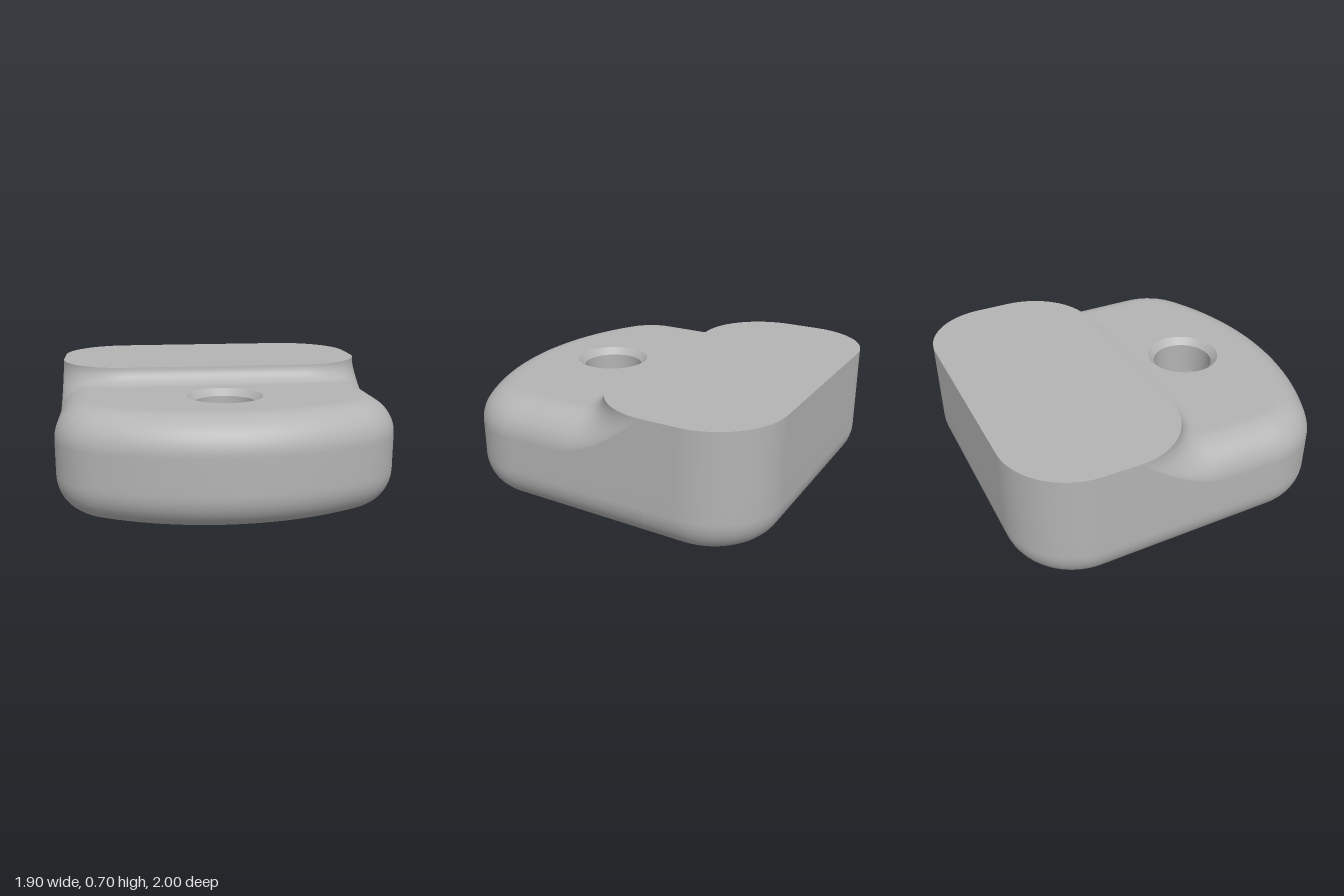
import * as THREE from 'three';

const PI = Math.PI;
const W = 0.95, R = 0.4, CX = W - R;          // half width, corner radius, corner centre x
const BACK_Z = -0.6, STEP_Z = -0.4, FRONT_Z = 0.46;
const BOW = 1.55, BOW_Z = 1 - BOW;            // bowed front edge
const TOP = 0.7, DECK = 0.6, ROUND = 0.2;     // platform height, deck height, edge rounding
const INSET = 0.175, HOLE_Z = 0.4;

// Plan curves in (x, z), running left to right round the front, then back round the rear
const phi = Math.atan2(FRONT_Z - BOW_Z, CX);
const frontEdge = new THREE.Path().moveTo(-W, STEP_Z).lineTo(-W, FRONT_Z)
  .absarc(-CX, FRONT_Z, R, PI, PI - phi, true)
  .absarc(0, BOW_Z, BOW, PI - phi, phi, true)
  .absarc(CX, FRONT_Z, R, phi, 0, true).lineTo(W, STEP_Z);
const backEdge = new THREE.Path().moveTo(W, STEP_Z).lineTo(W, BACK_Z)
  .absarc(CX, BACK_Z, R, 0, -PI / 2, true)
  .absarc(-CX, BACK_Z, R, -PI / 2, -PI, true).lineTo(-W, STEP_Z);
const stepEdge = new THREE.Path().moveTo(-W, STEP_Z)
  .absarc(-CX, STEP_Z, R, PI, PI / 2, true)
  .absarc(CX, STEP_Z, R, PI / 2, 0, true);

// Distance from the outer edge, for points in front of the platform
function edgeDistance(x, z) {
  const ax = Math.abs(x), bow = BOW - Math.hypot(x, z - BOW_Z);
  if (z < FRONT_Z) return Math.min(W - ax, bow);
  const inCorner = ax * (FRONT_Z - BOW_Z) > CX * (z - BOW_Z);
  return inCorner ? R - Math.hypot(ax - CX, z - FRONT_Z) : bow;
}

// Deck height: rounded outer edge, hollow blend up to the platform
function deckHeight(x, z) {
  const d = Math.max(0, edgeDistance(x, z)), ax = Math.abs(x);
  const e = Math.max(0, ax < CX ? z : Math.hypot(ax - CX, z - STEP_Z) - R);
  const g = Math.max(0, ROUND - d);
  const base = DECK - ROUND + Math.sqrt(Math.max(0, ROUND * ROUND - g * g));
  const r = TOP - base, t = Math.max(0, 1 - e / r);
  return base + r * (1 - Math.sqrt(1 - t * t));
}

// Point on the wall: row 0 is its top, later rows go down and round under
const WALL = 4, UNDER = 10;
function wallPoint(path, t, row, top) {
  const p = path.getPoint(t), n = path.getTangent(t);
  if (row <= WALL) return [p.x, THREE.MathUtils.lerp(top, ROUND, row / WALL), p.y];
  const a = (row - WALL) / UNDER * PI / 2, k = INSET * (1 - Math.cos(a));
  return [p.x + n.y * k, ROUND * (1 - Math.sin(a)), p.y - n.x * k];
}

// Smooth grid surface, leaving out cells where skip is true
function gridGeometry(cols, rows, point, skip = () => false) {
  const pos = [], index = [];
  for (let i = 0; i <= cols; i++) {
    for (let j = 0; j <= rows; j++) {
      pos.push(...point(i, j));
      if (i === cols || j === rows || skip(i, j)) continue;
      const a = i * (rows + 1) + j, c = a + rows + 1;
      index.push(a, a + 1, c, a + 1, c + 1, c);
    }
  }
  const g = new THREE.BufferGeometry();
  g.setAttribute('position', new THREE.Float32BufferAttribute(pos, 3));
  g.setIndex(index);
  g.computeVertexNormals();
  return g;
}

// Level face from (x, z) points, facing up or down
function levelGeometry(points, hole, y, up) {
  const s = up ? -1 : 1;
  const flip = list => list.map(p => new THREE.Vector2(p.x, s * p.y));
  const shape = new THREE.Shape(flip(points));
  if (hole) shape.holes.push(new THREE.Path(flip(hole)));
  return new THREE.ShapeGeometry(shape).rotateX(s * PI / 2).translate(0, y, 0);
}

// Regular polygon round the screw hole
function ring(radius, sides, start = 0) {
  return Array.from({ length: sides }, (_, i) => {
    const a = start + i / sides * 2 * PI;
    return new THREE.Vector2(radius * Math.sin(a), HOLE_Z + radius * Math.cos(a));
  });
}

// Inward-facing wall of a hole, from its upper rim to its lower rim
function boreGeometry(r0, y0, r1, y1, sides, start = 0) {
  const profile = [new THREE.Vector2(r0, y0), new THREE.Vector2(r1, y1)];
  return new THREE.LatheGeometry(profile, sides, start).translate(0, 0, HOLE_Z);
}

export function createModel() {
  const group = new THREE.Group();
  const grey = new THREE.MeshStandardMaterial({ color: 0xb4b4b4 });
  grey.name = 'plain grey';
  const add = (name, geometry) => {
    const mesh = new THREE.Mesh(geometry, grey);
    mesh.name = name;
    group.add(mesh);
  };

  // Deck and front wall, with a window left open round the screw hole
  const N = 96, M = 48, I0 = 36, I1 = 60, J0 = 11, J1 = 31;
  const frontPoint = (i, j) => {
    const t = i / N, q = frontEdge.getPoint(t);
    if (j > M) return wallPoint(frontEdge, t, j - M, deckHeight(q.x, q.y));
    const p = stepEdge.getPoint(t).lerp(q, 0.5 - 0.5 * Math.cos(PI * j / M));
    return [p.x, deckHeight(p.x, p.y), p.y];
  };
  add('deckAndFrontWall', gridGeometry(N, M + WALL + UNDER, frontPoint,
    (i, j) => i >= I0 && i < I1 && j >= J0 && j < J1));

  // Level patch of deck round the hole
  const border = [];
  const mark = (i, j) => {
    const [x, , z] = frontPoint(i, j);
    border.push(new THREE.Vector2(x, z));
  };
  for (let i = I0; i < I1; i++) mark(i, J0);
  for (let j = J0; j < J1; j++) mark(I1, j);
  for (let i = I1; i > I0; i--) mark(i, J1);
  for (let j = J1; j > J0; j--) mark(I0, j);
  add('deckPatch', levelGeometry(border, ring(0.215, 64), DECK, true));

  // Rear wall and raised platform
  add('rearWall', gridGeometry(N, WALL + UNDER,
    (i, j) => wallPoint(backEdge, i / N, j, TOP)));
  const loop = (path, f) => Array.from({ length: N }, (_, i) => f(path, i / N));
  const onPath = (path, t) => path.getPoint(t);
  add('platformTop', levelGeometry(
    [...loop(stepEdge, onPath), ...loop(backEdge, onPath)], null, TOP, true));

  // Underside with a six-sided nut pocket
  const under = (path, t) => {
    const [x, , z] = wallPoint(path, t, WALL + UNDER, 0);
    return new THREE.Vector2(x, z);
  };
  const hex = ring(0.46, 6, PI / 6), pocketY = 0.38;
  add('underside', levelGeometry(
    [...loop(frontEdge, under), ...loop(backEdge, under)], hex, 0, false));
  const pocket = boreGeometry(0.46, pocketY, 0.46, 0, 6, PI / 6).toNonIndexed();
  pocket.computeVertexNormals();
  add('nutPocketWalls', pocket);
  add('nutPocketCeiling', levelGeometry(hex, ring(0.177, 64), pocketY, false));

  // Screw hole with chamfered rim
  add('holeChamfer', boreGeometry(0.215, DECK, 0.177, DECK - 0.04, 64));
  add('holeWall', boreGeometry(0.177, DECK - 0.04, 0.177, pocketY, 64));

  return group;
}
